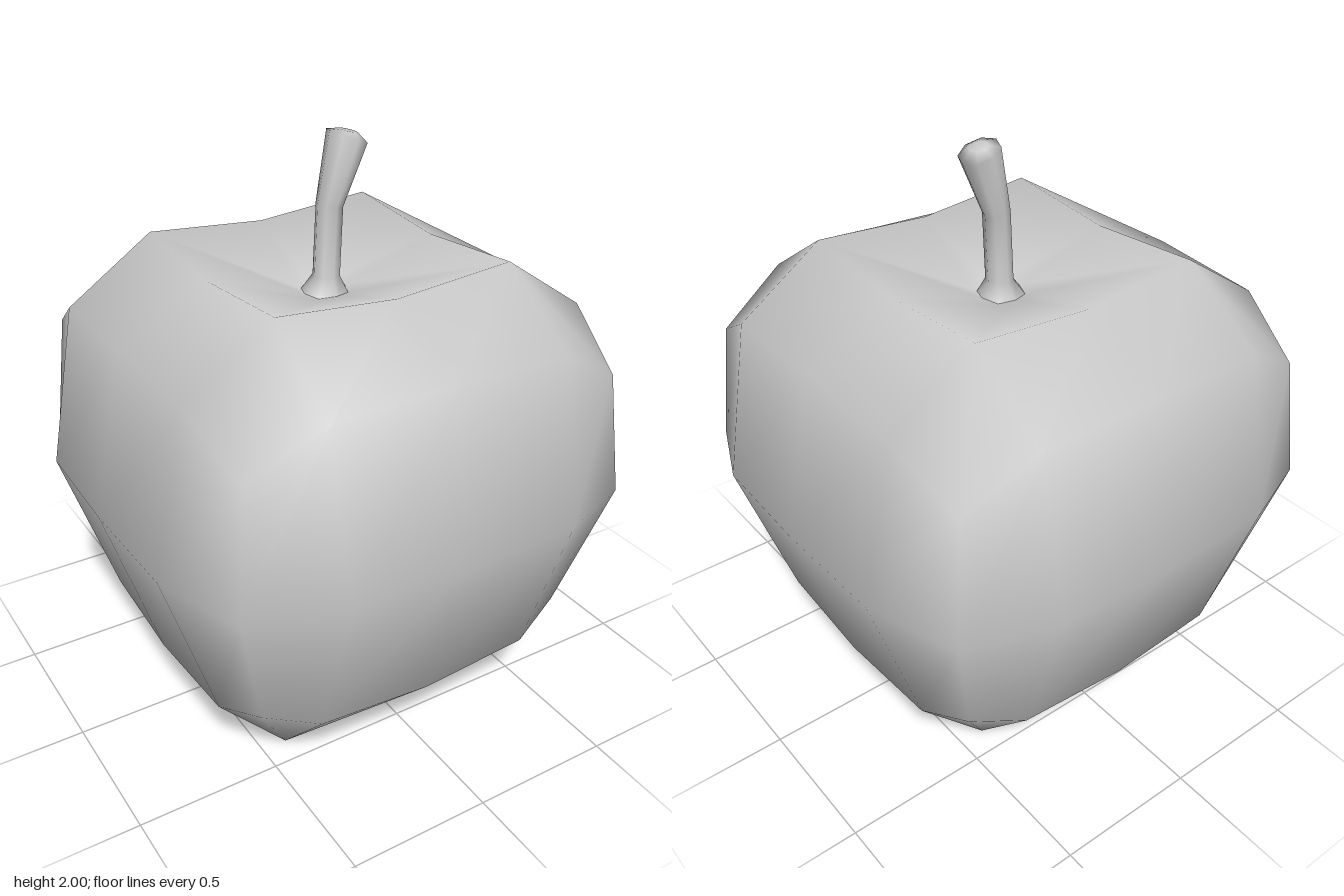
import * as THREE from 'three';
import { mergeVertices } from 'three/addons/utils/BufferGeometryUtils.js';

const material = new THREE.MeshStandardMaterial({ color: 0xcccccc });

// Joins closed rings of points (listed bottom to top) into one smooth surface.
function skin(rings) {
  const n = rings[0].length;
  const index = [];
  for (let r = 0; r < rings.length - 1; r++) {
    for (let i = 0; i < n; i++) {
      const a = r * n + i, b = r * n + (i + 1) % n;
      index.push(a, a + n, b, b, a + n, b + n);
    }
  }
  let geometry = new THREE.BufferGeometry();
  geometry.setAttribute('position', new THREE.Float32BufferAttribute(rings.flat(2), 3));
  geometry.setIndex(index);
  geometry = mergeVertices(geometry, 1e-4);
  geometry.computeVertexNormals();
  return geometry;
}

// Rounded-square ring of 16 points: side middle, quarter points and corner,
// each with its own distance from the axis and height.
function squareRing([mid, midY, quarter, depth, quarterY, corner, cornerY]) {
  const side = [
    [0, midY, mid], [-quarter, quarterY, depth],
    [-corner, cornerY, corner], [-depth, quarterY, quarter],
  ];
  const ring = [];
  for (let k = 0; k < 4; k++) {
    for (const [x, y, z] of side) {
      const [px, pz] = [[x, z], [-z, x], [-x, -z], [z, -x]][k];
      ring.push([px, y, pz]);
    }
  }
  return ring;
}

// Eight-sided ring across the stem; tilt leans its plane towards +x.
function stemRing([x, y, rx, rz, tilt]) {
  return Array.from({ length: 8 }, (_, i) => {
    const a = i * Math.PI / 4;
    const dx = -Math.sin(a) * rx;
    return [x + dx, y - dx * tilt, Math.cos(a) * rz];
  });
}

export function createModel() {
  const group = new THREE.Group();
  group.name = 'apple';

  // Body: dimpled base, bulging sides, broad shoulders, hollow top
  const body = new THREE.Mesh(skin([
    [0, 0.06, 0, 0, 0.06, 0, 0.06],
    [0.41, 0.02, 0.41, 0.41, 0, 0.41, 0],
    [0.67, 0.25, 0.41, 0.66, 0.27, 0.6, 0.34],
    [0.86, 0.85, 0.425, 0.848, 0.85, 0.725, 0.83],
    [0.752, 1.43, 0.43, 0.74, 1.41, 0.685, 1.26],
    [0.43, 1.585, 0.43, 0.43, 1.62, 0.43, 1.62],
    [0.08, 1.47, 0.07, 0.07, 1.47, 0.07, 1.47],
    [0, 1.44, 0, 0, 1.44, 0, 1.44],
  ].map(squareRing)), material);
  body.name = 'body';

  // Stem: flared foot, slight bend, wider slanted tip
  const stem = new THREE.Mesh(skin([
    [0, 1.45, 0.09, 0.09, 0],
    [0.008, 1.52, 0.046, 0.048, 0],
    [0.02, 1.76, 0.045, 0.047, 0.15],
    [0.085, 1.975, 0.065, 0.072, 0.4],
    [0.09, 1.992, 0.03, 0.035, 0.25],
    [0.09, 1.992, 0, 0, 0],
  ].map(stemRing)), material);
  stem.name = 'stem';

  group.add(body, stem);
  return group;
}
